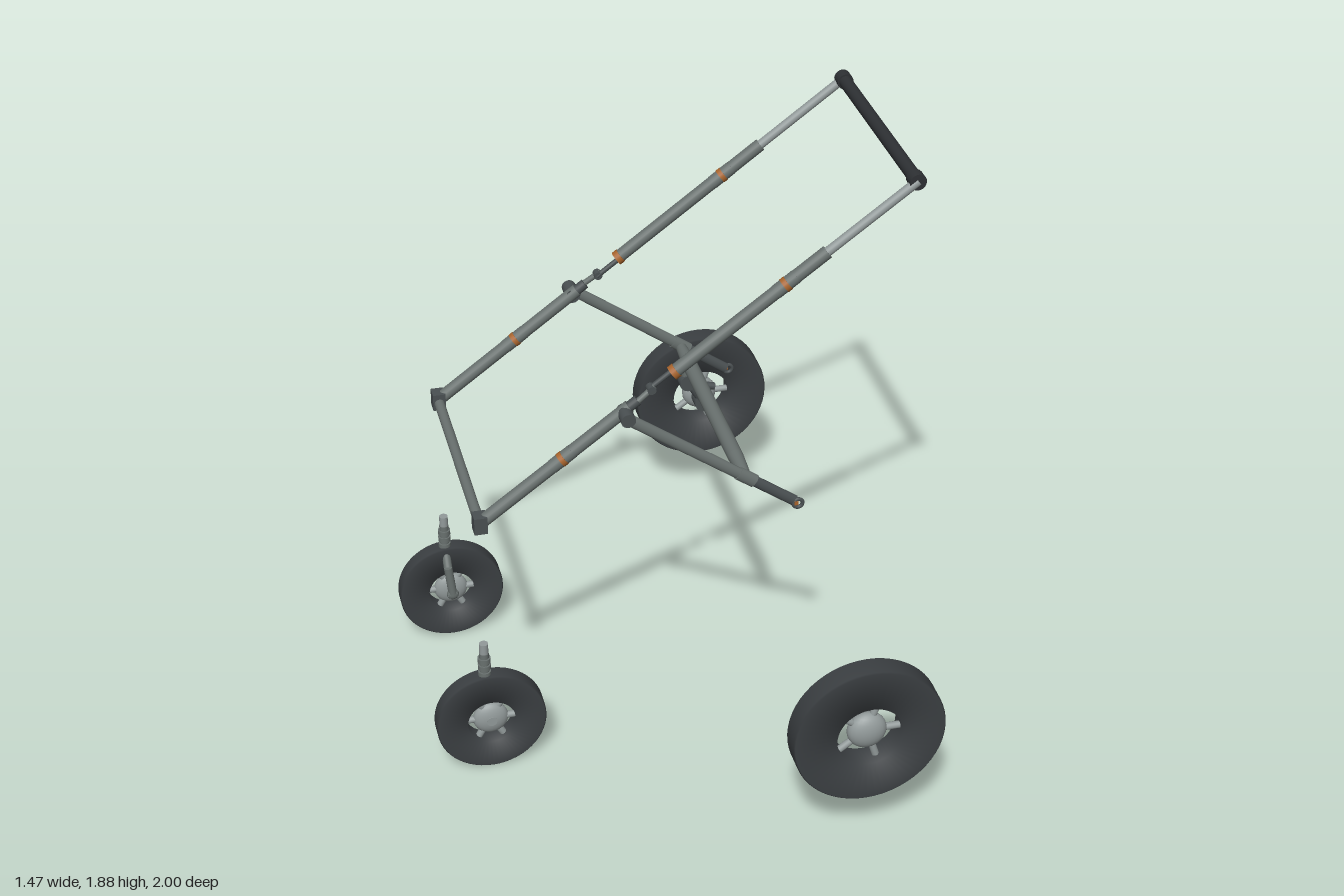
import * as THREE from 'three';

const mat = (name, color) => {
  const m = new THREE.MeshStandardMaterial({ color });
  m.name = name;
  return m;
};

export function createModel() {
  const steel = mat('grey tube', 0x69716f);
  const light = mat('light metal', 0x929a9a);
  const dark = mat('dark grey joint', 0x4a5052);
  const grip = mat('black grip', 0x2e3134);
  const rubber = mat('tyre rubber', 0x3b3f42);
  const orange = mat('orange button', 0xa8642c);
  const model = new THREE.Group();
  const up = new THREE.Vector3(0, 1, 0);

  const add = (parent, name, geometry, material, p = [0, 0, 0]) => {
    const m = new THREE.Mesh(geometry, material);
    m.name = name;
    m.position.set(...p);
    parent.add(m);
    return m;
  };
  // Round rod between two points, optionally tapered
  const rod = (parent, name, material, a, b, r0, r1 = r0) => {
    const A = new THREE.Vector3(...a), B = new THREE.Vector3(...b);
    const d = B.clone().sub(A);
    const m = add(parent, name, new THREE.CylinderGeometry(r1, r0, d.length(), 20), material);
    m.position.copy(A).add(B).multiplyScalar(0.5);
    m.quaternion.setFromUnitVectors(up, d.normalize());
    return m;
  };
  const group = (name) => {
    const g = new THREE.Group();
    g.name = name;
    model.add(g);
    return g;
  };
  // Point on the sloping main rail at a given x
  const rail = (x, z) => [x, 0.895 + (x + 0.58) * 0.746, z];
  // Point on the rear leg at a given x
  const leg = (x, z) => [x, 1.215 - (x + 0.145) * 0.71, z];

  // Smooth-shaded tyre with spokes and a domed hub, axle along z
  const wheel = (g, x, y, z, R, hole, half, hubR, spokes) => {
    const profile = [[hole, -half], [R - 0.004, -half], [R, -half + 0.004], [R, half - 0.004],
      [R - 0.004, half], [hole, half], [hole, -half]].map(([r, h]) => new THREE.Vector2(r, h));
    add(g, 'tyre', new THREE.LatheGeometry(profile, 56), rubber, [x, y, z]).rotation.x = Math.PI / 2;
    add(g, 'hub', new THREE.SphereGeometry(hubR, 24, 16), light, [x, y, z]).scale.z = half * 0.95 / hubR;
    for (let i = 0; i < spokes; i++) {
      const a = i * Math.PI * 2 / spokes, c = Math.cos(a), s = Math.sin(a);
      rod(g, 'spoke', light, [x + c * hubR * 0.6, y + s * hubR * 0.6, z],
        [x + c * (hole + 0.005), y + s * (hole + 0.005), z], 0.011);
    }
  };

  for (const s of [1, -1]) {
    const side = s > 0 ? 'left' : 'right';
    const z = s * 0.352;

    // Lower rail, upper rail and telescoping handle tube
    const rails = group(side + 'Rail');
    rod(rails, 'lowerRail', steel, rail(-0.57, z), rail(-0.13, z), 0.02);
    rod(rails, 'upperRail', steel, rail(0, z), rail(0.45, z), 0.02);
    rod(rails, 'handleTube', light, rail(0.44, z), rail(0.71, z), 0.014);
    for (const x of [-0.33, 0.33]) {
      rod(rails, 'railCollar', steel, rail(x - 0.03, z), rail(x + 0.03, z), 0.021);
      rod(rails, 'railButton', orange, rail(x - 0.006, z), rail(x + 0.006, z), 0.0225);
    }
    rod(rails, 'foldButton', orange, rail(-0.004, z), rail(0.01, z), 0.0225);
    add(rails, 'cornerBlock', new THREE.BoxGeometry(0.04, 0.055, 0.045), dark, [-0.58, 0.897, z]);

    // Folding hinge between the two rails
    rod(rails, 'hingePin', dark, rail(-0.14, z), rail(-0.105, z), 0.016);
    rod(rails, 'hingeLink', steel, rail(-0.11, s * 0.358), rail(-0.055, s * 0.35), 0.009);
    rod(rails, 'hingeHook', dark, rail(-0.07, s * 0.342), rail(0.005, s * 0.342), 0.008);
    rod(rails, 'hingeKnuckle', dark, rail(-0.065, s * 0.335), rail(-0.065, s * 0.362), 0.013);

    // Flattened rear leg with sleeve and open end hook
    const legs = group(side + 'Leg');
    const flat = (m) => { m.scale.z = 0.68; return m; };
    const zl = s * 0.393;
    flat(rod(legs, 'legTube', steel, leg(-0.145, zl), leg(0.23, zl), 0.018));
    flat(rod(legs, 'legSleeve', dark, leg(0.19, zl), leg(0.365, zl), 0.017));
    flat(rod(legs, 'legCollar', steel, leg(0.19, zl), leg(0.24, zl), 0.021));
    add(legs, 'legHook', new THREE.TorusGeometry(0.014, 0.006, 10, 24), dark, leg(0.375, s * 0.4));
    add(legs, 'hookPin', new THREE.BoxGeometry(0.012, 0.012, 0.014), orange, leg(0.368, s * 0.402));
    rod(legs, 'legPivot', dark, [-0.145, 1.215, s * 0.34], [-0.145, 1.215, s * 0.407], 0.022);

    // Front caster wheel with inner fork arm and stem
    const front = group(side + 'FrontWheel');
    wheel(front, -0.57, 0.172, s * 0.349, 0.17, 0.075, 0.028, 0.055, 6);
    rod(front, 'axle', light, [-0.57, 0.172, s * 0.3], [-0.57, 0.172, s * 0.376], 0.016);
    rod(front, 'forkArm', steel, [-0.57, 0.172, s * 0.308], [-0.582, 0.28, s * 0.308], 0.014);
    add(front, 'forkFoot', new THREE.SphereGeometry(0.02, 16, 12), steel, [-0.57, 0.172, s * 0.308]).scale.z = 0.65;
    rod(front, 'forkBridge', steel, [-0.582, 0.28, s * 0.308], [-0.583, 0.34, s * 0.349], 0.014);
    rod(front, 'stem', steel, [-0.583, 0.32, s * 0.349], [-0.583, 0.42, s * 0.349], 0.015);
    for (const y of [0.345, 0.37, 0.395])
      rod(front, 'stemRing', steel, [-0.583, y - 0.008, s * 0.349], [-0.583, y + 0.008, s * 0.349], 0.02);
    rod(front, 'stemTip', light, [-0.583, 0.41, s * 0.349], [-0.583, 0.455, s * 0.349], 0.014);

    // Large rear wheel with inner axle bracket
    const rear = group(side + 'RearWheel');
    wheel(rear, 0.43, 0.415, s * 0.9625, 0.23, 0.1, 0.0375, 0.06, 5);
    rod(rear, 'axle', dark, [0.43, 0.415, s * 0.882], [0.43, 0.415, s * 0.965], 0.034);
    rod(rear, 'bracketArm', dark, [0.43, 0.415, s * 0.895], [0.37, 0.51, s * 0.895], 0.017);
    rod(rear, 'bracketJoint', dark, [0.37, 0.505, s * 0.875], [0.37, 0.505, s * 0.915], 0.03);
    rod(rear, 'bracketTip', steel, [0.37, 0.51, s * 0.896], [0.36, 0.575, s * 0.896], 0.018);
    rod(rear, 'brakeLever', dark, [0.37, 0.5, s * 0.888], [s > 0 ? 0.52 : 0.465, 0.475, s * 0.888], 0.013);
  }

  // Cross bars and padded handle
  const bars = group('crossBars');
  rod(bars, 'frontBar', steel, [-0.58, 0.893, -0.34], [-0.58, 0.893, 0.34], 0.016);
  rod(bars, 'legBar', steel, [0.215, 0.955, -0.27], [0.215, 0.955, 0.27], 0.024);
  rod(bars, 'handleGrip', grip, [0.707, 1.857, -0.33], [0.707, 1.857, 0.33], 0.02);
  for (const s of [1, -1]) {
    rod(bars, 'legBarEnd', steel, [0.215, 0.955, s * 0.27], [0.215, 0.955, s * 0.39], 0.024, 0.017);
    rod(bars, 'handleCap', grip, [0.707, 1.857, s * 0.325], [0.707, 1.857, s * 0.362], 0.025);
  }
  return model;
}
